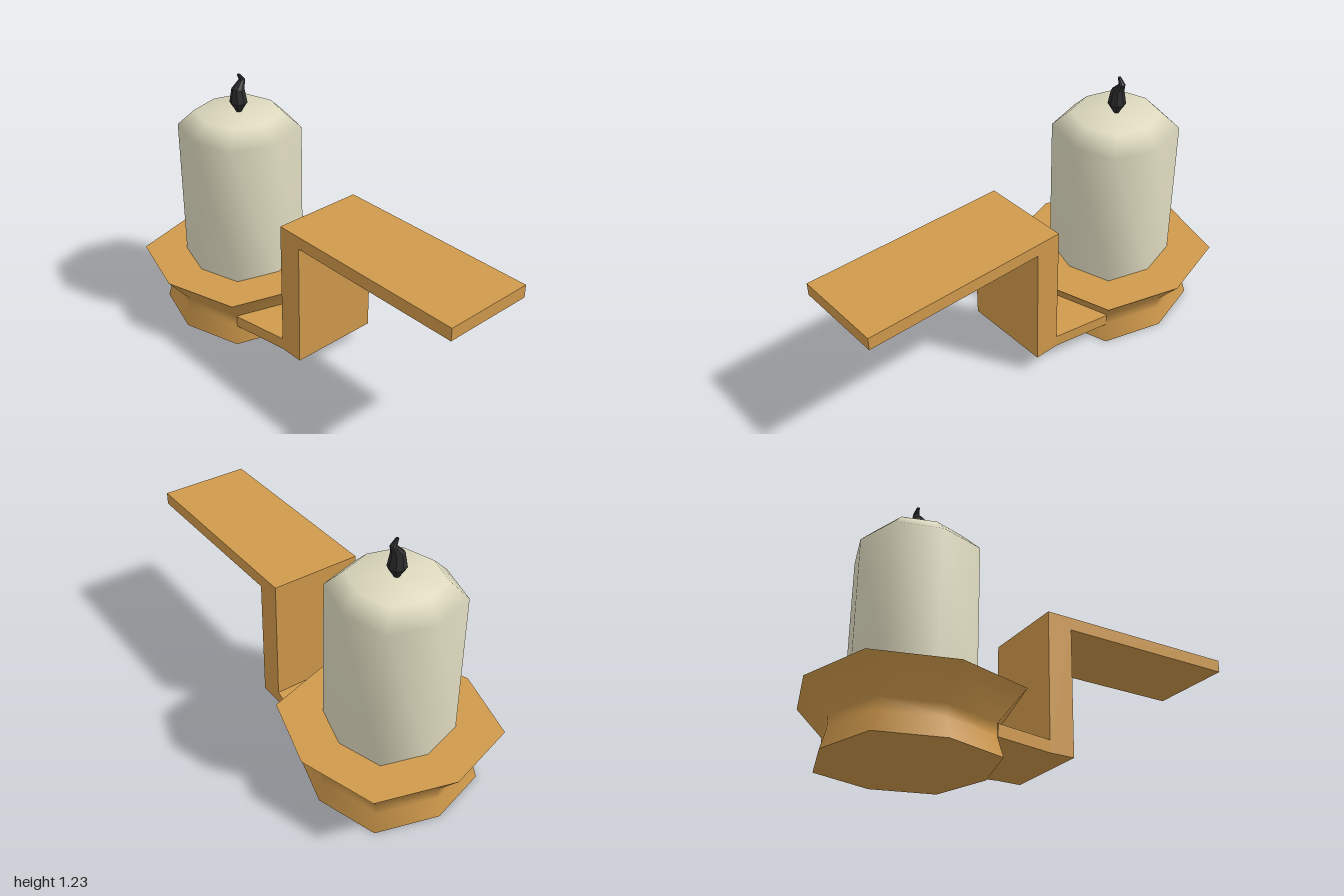
import * as THREE from 'three';
import { mergeVertices } from 'three/addons/utils/BufferGeometryUtils.js';

const brass = new THREE.MeshStandardMaterial({ color: 0xd09a4c });
const wax = new THREE.MeshStandardMaterial({ color: 0xdedabf });
const soot = new THREE.MeshStandardMaterial({ color: 0x2c2c2e, flatShading: true });

// Eight-sided turned form, slightly squared by pushing its diagonal corners out
function octagonal(name, profile, material, diagonal = 1.09) {
  const lathe = new THREE.LatheGeometry(profile.map(([r, y]) => new THREE.Vector2(r, y)), 8);
  const p = lathe.attributes.position;
  for (let i = 0; i < p.count; i++) {
    const x = p.getX(i), z = p.getZ(i);
    if (Math.min(Math.abs(x), Math.abs(z)) > 0.001) p.setXYZ(i, x * diagonal, p.getY(i), z * diagonal);
  }
  lathe.deleteAttribute('uv');
  lathe.deleteAttribute('normal');
  const geometry = mergeVertices(lathe, 1e-4);
  geometry.computeVertexNormals();
  const mesh = new THREE.Mesh(geometry, material);
  mesh.name = name;
  return mesh;
}

// Bent strap handle, flaring in width where it meets the dish
function createHandle() {
  const halfWidth = 0.217;
  const outline = [
    [-0.27, 0.09], [0.01, 0.09], [0.13, 0.09], [0.13, 0.69], [1, 0.69],
    [1, 0.75], [0.01, 0.75], [0.01, 0.147], [-0.27, 0.147],
  ];
  const shape = new THREE.Shape(outline.map(([x, y]) => new THREE.Vector2(x, y)));
  const geometry = new THREE.ExtrudeGeometry(shape, { depth: 2 * halfWidth, bevelEnabled: false });
  geometry.translate(0, 0, -halfWidth);
  const p = geometry.attributes.position;
  for (let i = 0; i < p.count; i++) {
    if (p.getX(i) < -0.2) p.setZ(i, p.getZ(i) * 1.23);
  }
  geometry.computeVertexNormals();
  const mesh = new THREE.Mesh(geometry, brass);
  mesh.name = 'handle';
  return mesh;
}

// Burnt wick whose tip hooks back and then forward
function createWick() {
  const wick = octagonal('wick', [
    [0, 1.04], [0.01, 1.04], [0.042, 1.09], [0.03, 1.157], [0.015, 1.195], [0.007, 1.223], [0, 1.223],
  ], soot, 1);
  const p = wick.geometry.attributes.position;
  for (let i = 0; i < p.count; i++) {
    const y = p.getY(i);
    const lean = y > 1.21 ? -0.006 : y > 1.18 ? -0.025 : 0;
    p.setZ(i, p.getZ(i) + lean);
    if (y > 1.21) p.setY(i, y - p.getZ(i) * 0.2);
  }
  wick.geometry.computeVertexNormals();
  return wick;
}

export function createModel() {
  const model = new THREE.Group();
  model.name = 'candleholder';

  // Waisted dish with crisp flat top and bottom
  const dish = new THREE.Group();
  dish.name = 'dish';
  dish.add(
    octagonal('dishSide', [[0.37, 0], [0.346, 0.09], [0.346, 0.147], [0.46, 0.287]], brass),
    octagonal('dishTop', [[0.46, 0.287], [0, 0.287]], brass),
    octagonal('dishBottom', [[0, 0], [0.37, 0]], brass),
  );

  // Candle with a softened shoulder, and its wick
  const candle = new THREE.Group();
  candle.name = 'candle';
  candle.add(
    octagonal('wax', [[0.267, 0.285], [0.267, 0.97], [0.192, 1.044], [0, 1.044]], wax),
    createWick(),
  );

  dish.position.x = candle.position.x = -0.54;
  model.add(dish, candle, createHandle());
  return model;
}
